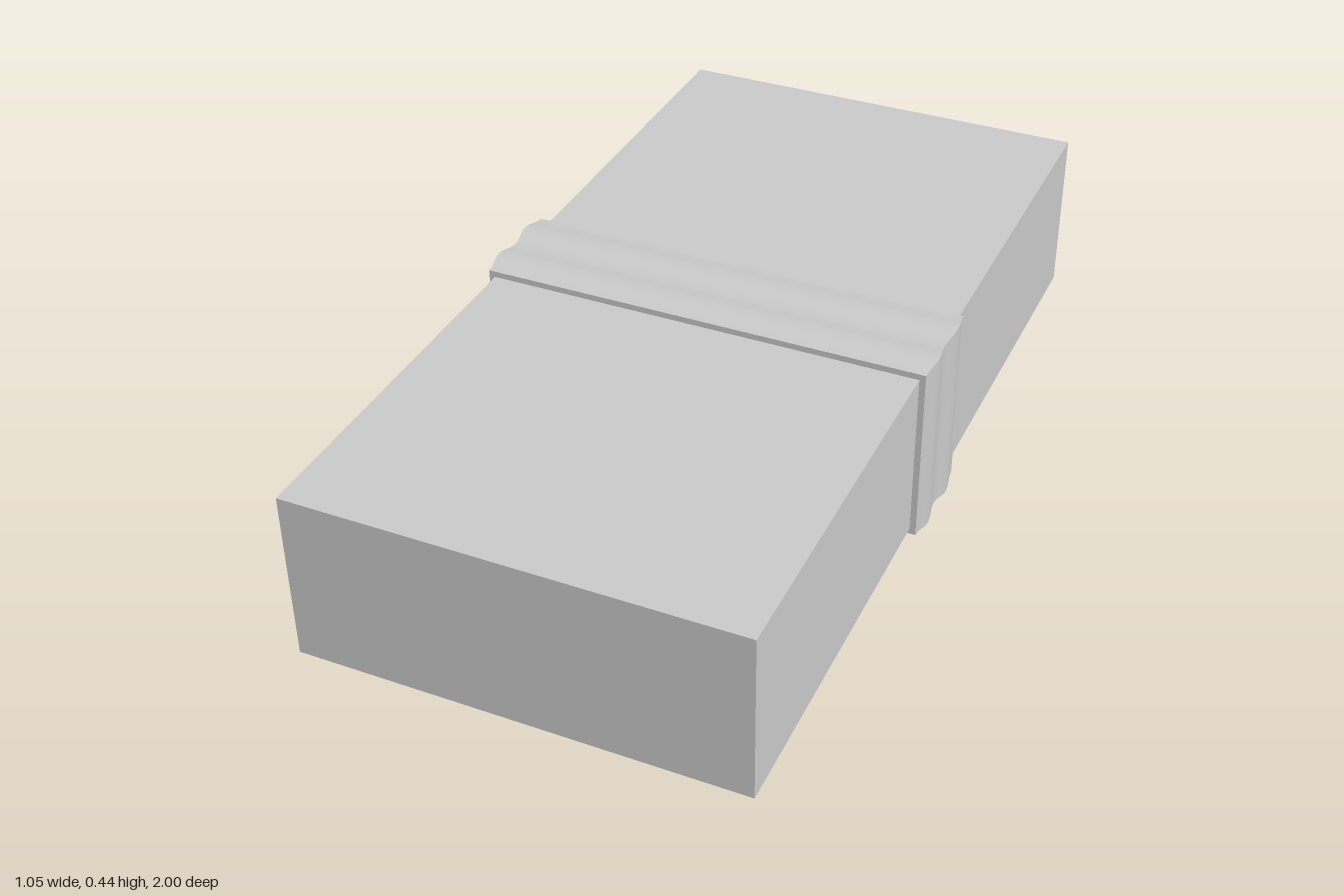
import * as THREE from 'three';

const HALF_W = 0.503, HALF_H = 0.199, MID_Y = 0.221;
const BAND_HALF = 0.124, BAND_Z = 0.003;

// Wraps a profile of [z, offset] points around the block with mitred corners.
// Each side gets its own vertices, so the corners stay sharp and the profile smooth.
function wrapProfile(profile, material) {
  const corners = [[-1, -1], [1, -1], [1, 1], [-1, 1]];
  const positions = [], index = [];
  corners.forEach((a, side) => {
    const b = corners[(side + 1) % 4];
    const start = positions.length / 3;
    profile.forEach(([z, off], i) => {
      for (const c of [a, b]) positions.push(c[0] * (HALF_W + off), c[1] * (HALF_H + off), z);
      if (i === 0) return;
      const k = start + (i - 1) * 2;
      index.push(k, k + 1, k + 3, k, k + 3, k + 2);
    });
  });
  const geometry = new THREE.BufferGeometry();
  geometry.setAttribute('position', new THREE.Float32BufferAttribute(positions, 3));
  geometry.setIndex(index);
  geometry.computeVertexNormals();
  return new THREE.Mesh(geometry, material);
}

export function createModel() {
  const model = new THREE.Group();
  const material = new THREE.MeshStandardMaterial({ color: 0xcccccc });

  // Main rectangular block
  const block = new THREE.Mesh(new THREE.BoxGeometry(HALF_W * 2, HALF_H * 2, 2), material);
  block.name = 'block';
  block.position.y = MID_Y;
  model.add(block);

  // Band around the middle with two rounded ridges
  const band = new THREE.Group();
  band.name = 'band';
  band.position.set(0, MID_Y, BAND_Z);
  const steps = 32, wave = [];
  for (let i = 0; i <= steps; i++) {
    const t = i / steps;
    wave.push([(t * 2 - 1) * BAND_HALF, 0.014 + 0.008 * Math.sin(t * Math.PI * 2) ** 2]);
  }
  const ridges = wrapProfile(wave, material);
  ridges.name = 'bandRidges';

  // Flat rims closing the band against the block
  const backRim = wrapProfile([[-BAND_HALF, 0], [-BAND_HALF, 0.014]], material);
  backRim.name = 'bandBackRim';
  const frontRim = wrapProfile([[BAND_HALF, 0.014], [BAND_HALF, 0]], material);
  frontRim.name = 'bandFrontRim';
  band.add(ridges, backRim, frontRim);
  model.add(band);

  return model;
}
